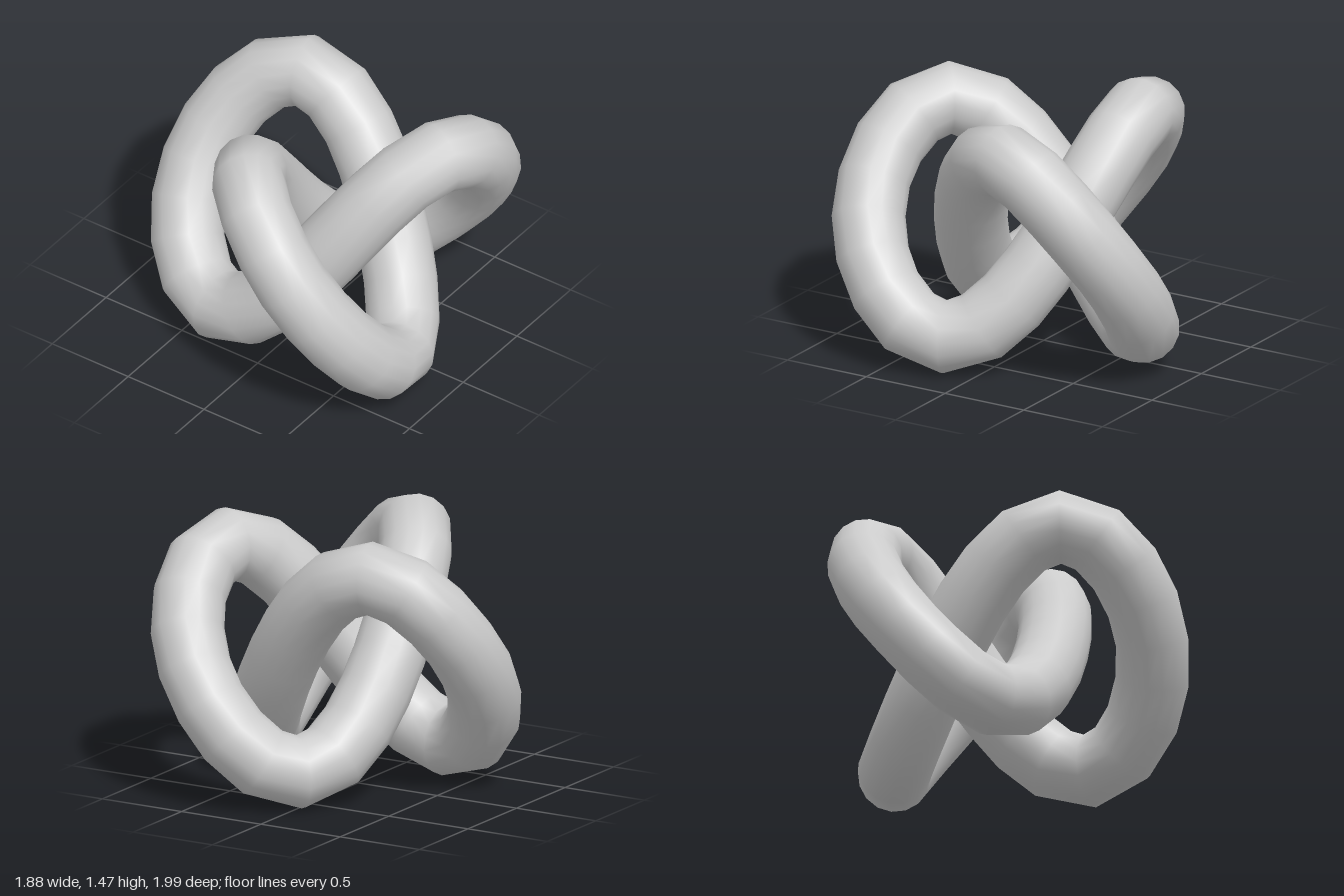
import * as THREE from 'three';

// Closed trefoil path: a three-lobed plan with a skewed wave in height
class KnotCurve extends THREE.Curve {
  getPoint(t, target = new THREE.Vector3()) {
    const a = t * Math.PI * 2;
    const inner = 0.275, outer = 0.6, rise = 0.528;
    return target.set(
      0.129 + inner * Math.cos(a) - outer * Math.cos(2 * a),
      0.74 + rise * (Math.sin(3 * a) + 0.11 * Math.sin(6 * a)),
      inner * Math.sin(a) + outer * Math.sin(2 * a)
    );
  }
}

export function createModel() {
  const group = new THREE.Group();
  group.name = 'trefoilKnot';

  // One round tube swept along the knot
  const tube = new THREE.Mesh(
    new THREE.TubeGeometry(new KnotCurve(), 48, 0.199, 16, true),
    new THREE.MeshStandardMaterial({ color: 0xcccccc })
  );
  tube.name = 'knotTube';
  group.add(tube);
  return group;
}
